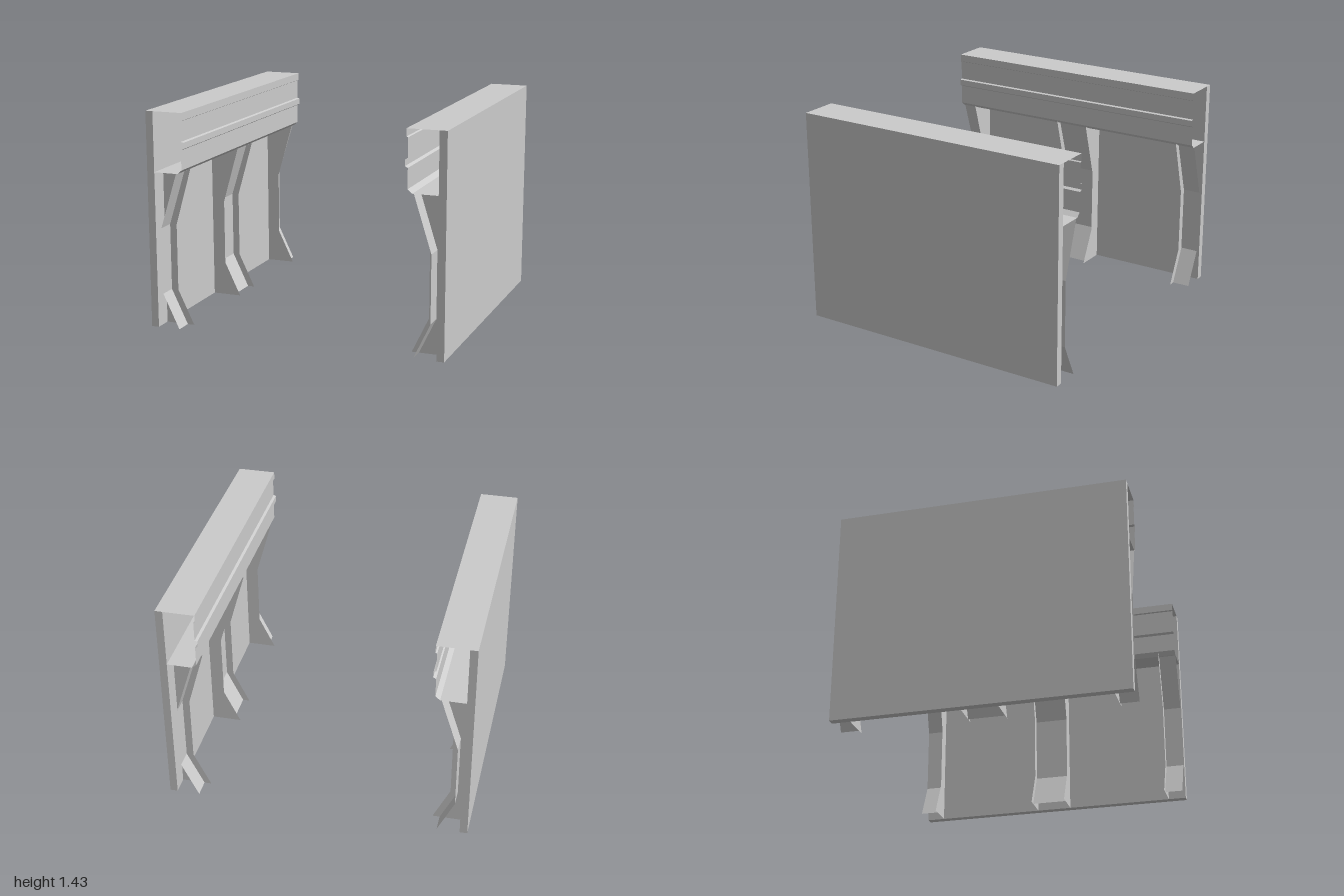
import * as THREE from 'three';

const HALF = 0.95; // half length along z
const TOP = 1.43;
const mat = new THREE.MeshStandardMaterial({ color: 0xcccccc, side: THREE.DoubleSide, flatShading: true });

// Edges of a rib from bottom to top: its recessed floor and its outer lip
const floorLine = [[0.8, 0], [0.91, 0.23], [0.91, 0.67], [0.795, 1.035]];
const lipLine = [[0.753, 0], [0.863, 0.23], [0.863, 0.67], [0.752, 1.053]];

// Folded sheet-metal profile of the top rail
const railLine = [
  [0.95, TOP], [0.745, TOP], [0.745, 1.38], [0.755, 1.375], [0.755, 1.245], [0.737, 1.24],
  [0.737, 1.2], [0.755, 1.19], [0.755, 1.06], [0.785, 1.035], [0.95, 1.035],
];

function mesh(name, geometry) {
  const m = new THREE.Mesh(geometry, mat);
  m.name = name;
  return m;
}

// Thin sheet: a profile in xy swept from z0 to z1
function sheet(name, line, side, z0, z1) {
  const pos = [];
  for (let i = 0; i < line.length - 1; i++) {
    const [ax, ay] = line[i], [bx, by] = line[i + 1];
    const a = [ax * side, ay, z0], b = [bx * side, by, z0];
    const c = [bx * side, by, z1], d = [ax * side, ay, z1];
    const quad = side > 0 ? [a, b, c, a, c, d] : [a, c, b, a, d, c];
    for (const p of quad) pos.push(...p);
  }
  const g = new THREE.BufferGeometry();
  g.setAttribute('position', new THREE.Float32BufferAttribute(pos, 3));
  g.computeVertexNormals();
  return mesh(name, g);
}

// Flat side plate of a rib, notched under the rail
function web(side, z) {
  const outline = [[0.95, 0], ...lipLine, [0.782, 1.035], [0.95, 1.035]];
  const shape = new THREE.Shape(outline.map(([x, y]) => new THREE.Vector2(x * side, y)));
  const m = mesh('ribWeb', new THREE.ShapeGeometry(shape));
  m.position.z = z;
  return m;
}

// Channel rib: recessed floor between webs; end ribs are half channels
function rib(name, side, z0, z1, webs) {
  const g = new THREE.Group();
  g.name = name;
  g.add(sheet('ribFloor', floorLine, side, z0, z1));
  for (const z of webs) g.add(web(side, z));
  return g;
}

function wall(name, side) {
  const g = new THREE.Group();
  g.name = name;

  const panel = mesh('panel', new THREE.BoxGeometry(0.05, TOP, 2 * HALF));
  panel.position.set(0.975 * side, TOP / 2, 0);
  g.add(panel);

  g.add(sheet('topRail', railLine, side, -HALF, HALF));

  g.add(rib('frontRib', side, 0.83, HALF, [0.83]));
  g.add(rib('middleRib', side, -0.118, 0.118, [-0.118, 0.118]));
  g.add(rib('backRib', side, -HALF, -0.83, [-0.83]));
  return g;
}

export function createModel() {
  const model = new THREE.Group();
  model.name = 'sideWalls';
  model.add(wall('leftWall', 1), wall('rightWall', -1));
  return model;
}
